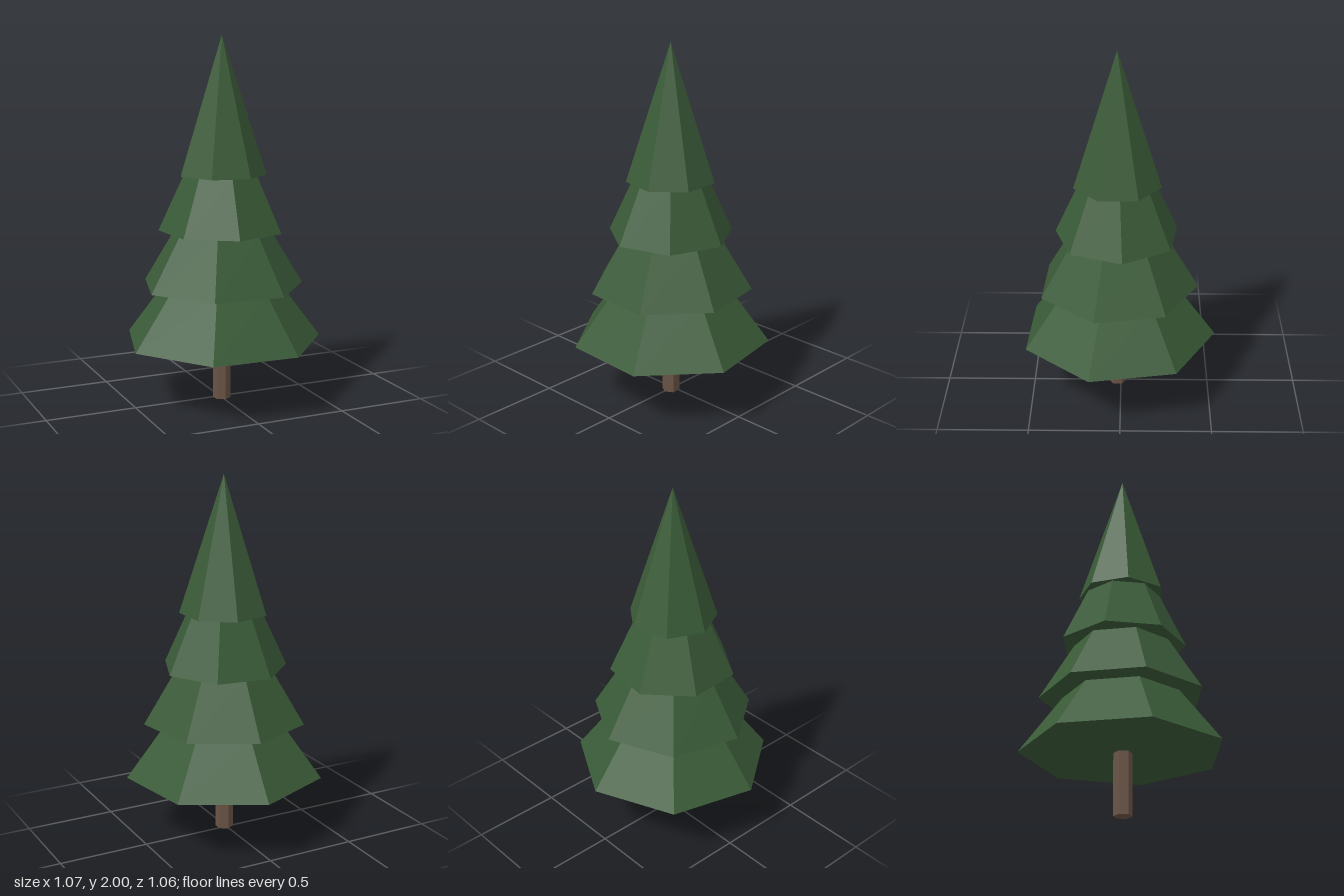
import * as THREE from 'three';

export function createModel() {
  const tree = new THREE.Group();
  tree.name = 'pineTree';

  const foliage = new THREE.MeshStandardMaterial({ color: 0x3a5b38, flatShading: true });
  foliage.name = 'foliage green';
  const bark = new THREE.MeshStandardMaterial({ color: 0x6b5446, flatShading: true });
  bark.name = 'bark brown';

  // Faceted solid standing between two heights, with its first corner at a given turn in degrees
  function addPart(name, material, sides, bottomRadius, topRadius, bottom, top, turn) {
    const geometry = new THREE.CylinderGeometry(topRadius, bottomRadius, top - bottom, sides);
    const mesh = new THREE.Mesh(geometry, material);
    mesh.name = name;
    mesh.position.set(0.004, (bottom + top) / 2, 0.019);
    mesh.rotation.y = THREE.MathUtils.degToRad(turn);
    tree.add(mesh);
  }

  // Hexagonal trunk
  addPart('trunk', bark, 6, 0.05, 0.05, 0, 0.36, 0);

  // Seven-sided branch tiers, each ending under the next one
  addPart('bottomTier', foliage, 7, 0.55, 0.323, 0.34, 0.645, 177.2);
  addPart('lowerTier', foliage, 7, 0.449, 0.265, 0.645, 0.95, 177.2);
  addPart('upperTier', foliage, 7, 0.345, 0.205, 0.95, 1.255, -162.3);
  addPart('topTier', foliage, 7, 0.243, 0, 1.255, 2, 169.3);

  return tree;
}
